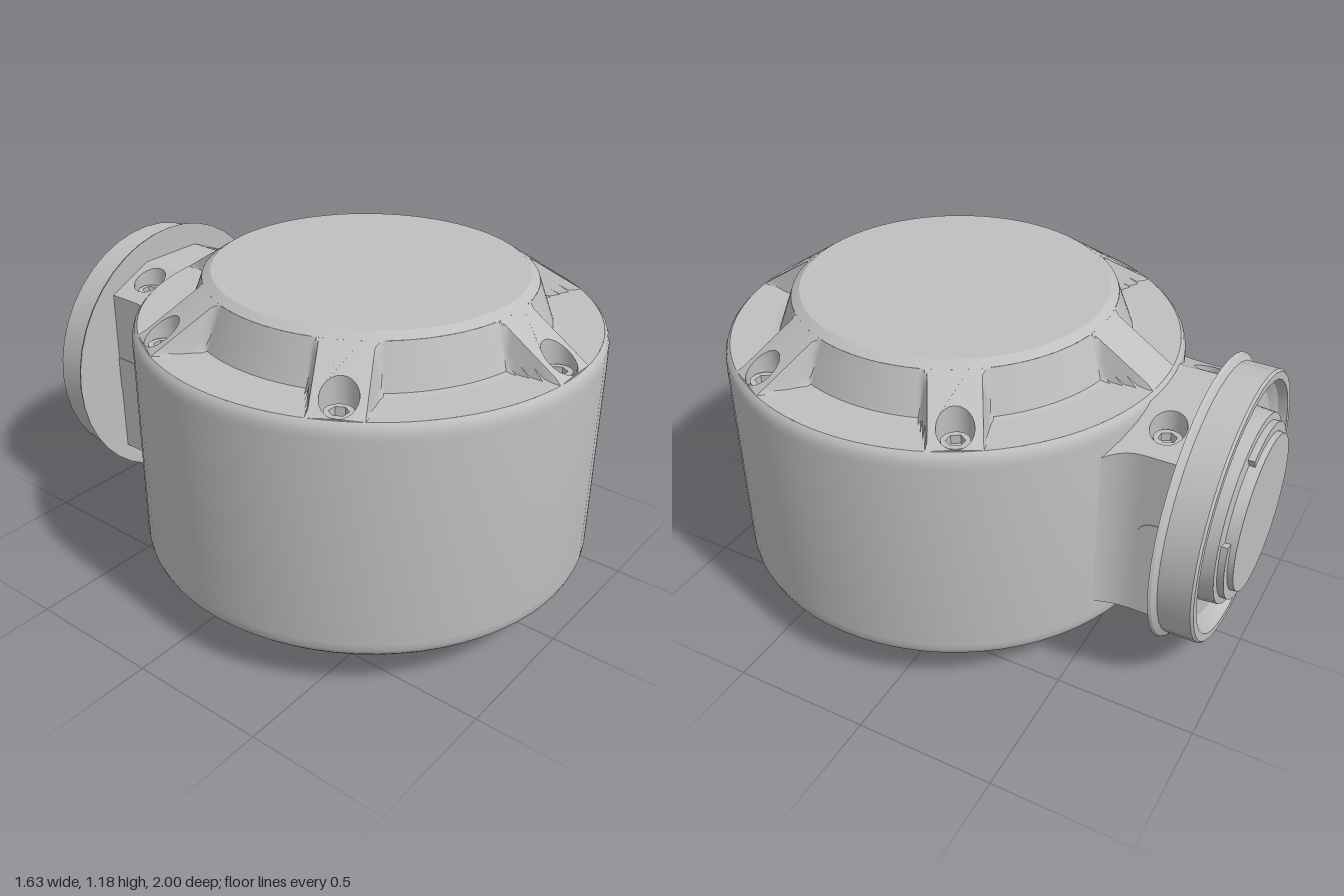
import * as THREE from 'three';
import { toCreasedNormals } from 'three/addons/utils/BufferGeometryUtils.js';

const H = 1.185;          // overall height
const AXIS_Z = 0.18;      // housing axis
const R_IN = 0.57, R_OUT = 0.795, RIB = 0.085, FLOOR = 1.015;
const BOLT_R = 0.73, HOLE = 0.06;
const coneY = r => H - (r - 0.54) * (H - FLOOR) / (R_OUT - 0.54);
const neckY = x => 1.0 - 0.45 * (x - 0.13);

const steel = new THREE.MeshStandardMaterial({ color: 0xbfbfbf, side: THREE.DoubleSide });
steel.name = 'greySteel';

function part(name, geo, parent, crease = 0.5) {
  const mesh = new THREE.Mesh(toCreasedNormals(geo, crease), steel);
  mesh.name = name;
  parent.add(mesh);
  return mesh;
}

const lathe = (pts, seg) => new THREE.LatheGeometry(pts.map(p => new THREE.Vector2(p[0], p[1])), seg);

// Set every vertex height by a rule
function moveY(geo, rule) {
  const p = geo.attributes.position;
  for (let i = 0; i < p.count; i++) p.setY(i, rule(p.getX(i), p.getY(i), p.getZ(i)));
  return geo;
}

function circlePath(x, y, r) {
  const path = new THREE.Path();
  path.absarc(x, y, r, 0, Math.PI * 2, true);
  return path;
}

// One pocket between two ribs: a polar grid sunk below the cone
function pocketGeometry() {
  const radii = [0.57, 0.58, 0.59, 0.6, 0.61, 0.625, 0.64, 0.66, 0.7, 0.74, 0.77, 0.795];
  const offs = [0, 0.008, 0.016, 0.024, 0.032, 0.04, 0.055];
  const mid = 10, pos = [], idx = [], sector = Math.PI / 3;
  const cols = offs.length * 2 + mid - 1;
  for (const r of radii) {
    const edge = offs.map(o => Math.asin((RIB + o) / r));
    const last = edge[edge.length - 1];
    const angles = [...edge];
    for (let k = 1; k < mid; k++) angles.push(last + (sector - 2 * last) * k / mid);
    angles.push(...edge.map(a => sector - a).reverse());
    for (const a of angles) {
      const u = (r - R_IN) * 2;
      const v = (r * Math.sin(Math.min(a, sector - a)) - RIB) * 4;
      const C = 0.1;   // rounded pocket corner
      const d = u < C && v < C ? Math.max(0, C - Math.hypot(C - u, C - v)) : Math.min(u, v);
      const y = Math.max(Math.min(FLOOR, coneY(r)), coneY(r) - d);
      pos.push(r * Math.sin(a), y, r * Math.cos(a));
    }
  }
  for (let i = 0; i < radii.length - 1; i++) {
    for (let j = 0; j < cols - 1; j++) {
      const a = i * cols + j;
      idx.push(a, a + cols, a + 1, a + 1, a + cols, a + cols + 1);
    }
  }
  const geo = new THREE.BufferGeometry();
  geo.setAttribute('position', new THREE.Float32BufferAttribute(pos, 3));
  geo.setIndex(idx);
  return geo;
}

// Sloping rib, with or without a bolt hole
function ribGeometry(hole) {
  const xs = [-RIB, -RIB / 2, 0, RIB / 2, RIB];
  const at = (x, r) => new THREE.Vector2(x, -Math.sqrt(r * r - x * x));
  const shape = new THREE.Shape([...xs.map(x => at(x, R_OUT)), ...xs.reverse().map(x => at(x, R_IN))]);
  if (hole) shape.holes.push(circlePath(0, -BOLT_R, HOLE));
  const geo = new THREE.ShapeGeometry(shape, 12);
  geo.rotateX(-Math.PI / 2);
  return moveY(geo, (x, y, z) => coneY(Math.hypot(x, z)));
}

// Socket-head screw sitting on the floor of its hole
function addScrew(parent, x, z, topY) {
  const screw = new THREE.Group();
  screw.name = 'socketScrew';
  screw.position.set(x, topY, z);
  const head = new THREE.Shape();
  head.absarc(0, 0, 0.047, 0, Math.PI * 2);
  const hex = [0, 1, 2, 3, 4, 5].map(k =>
    new THREE.Vector2(Math.cos(k * Math.PI / 3) * 0.031, Math.sin(k * Math.PI / 3) * 0.031));
  head.holes.push(new THREE.Path(hex));
  const geo = new THREE.ExtrudeGeometry(head, { depth: 0.035, bevelEnabled: false, curveSegments: 12 });
  part('screwHead', geo.rotateX(-Math.PI / 2).translate(0, -0.035, 0), screw);
  part('holeFloor', new THREE.CircleGeometry(HOLE, 24).rotateX(-Math.PI / 2).translate(0, -0.03, 0), screw);
  parent.add(screw);
}

// End cap with six pockets, ribs and five screws
function makeCap(name, bore) {
  const cap = new THREE.Group();
  cap.name = name;
  const face = [[R_IN, coneY(R_IN)], [0.54, H]];
  if (bore) face.push([0.305, H], [0.305, H - 0.14], [0, H - 0.14]);
  else face.push([0, H]);
  part('capFace', lathe(face, 72), cap);
  for (let k = 0; k < 6; k++) {
    const sector = new THREE.Group();
    sector.name = 'capSector';
    sector.rotation.y = k * Math.PI / 3;
    part('pocket', pocketGeometry(), sector, 0.6);
    part('rib', ribGeometry(k !== 3), sector);
    if (k !== 3) {
      const wall = new THREE.CylinderGeometry(HOLE, HOLE, 0.1, 24, 1, true).translate(0, 0, BOLT_R);
      part('holeWall', moveY(wall, (x, y, z) => y > 0 ? coneY(Math.hypot(x, z)) : 0.975), sector);
      addScrew(sector, 0, BOLT_R, 1.012);
    }
    cap.add(sector);
  }
  return cap;
}

function makeNeck() {
  const neck = new THREE.Group();
  neck.name = 'outletNeck';
  part('neckCore', new THREE.BoxGeometry(0.26, 0.815, 0.31).translate(0, H / 2, -0.655), neck);
  const plan = new THREE.Shape();
  plan.moveTo(0.13, 0.5);
  plan.lineTo(0.42, 0.5);
  plan.quadraticCurveTo(0.31, 0.57, 0.31, 0.68);
  plan.lineTo(0.31, 0.81);
  plan.lineTo(0.13, 0.81);
  plan.holes.push(circlePath(0.2, 0.71, HOLE));
  const slot = new THREE.Shape();
  slot.moveTo(0.8, -0.065);
  slot.lineTo(0.8, 0.065);
  slot.lineTo(0.735, 0.065);
  slot.absarc(0.735, 0, 0.065, Math.PI / 2, Math.PI * 1.5);
  for (const s of [1, -1]) {
    const side = new THREE.Group();
    side.name = s > 0 ? 'neckLeft' : 'neckRight';
    side.scale.x = s;
    const geo = new THREE.ExtrudeGeometry(plan, { depth: 1, bevelEnabled: false, curveSegments: 12 });
    geo.rotateX(-Math.PI / 2);
    part('neckSide', moveY(geo, (x, y) => y > 0.5 ? neckY(x) : H - neckY(x)), side);
    const plate = new THREE.ExtrudeGeometry(slot, { depth: 0.004, bevelEnabled: false });
    part('sideSlot', plate.rotateY(Math.PI / 2).translate(0.309, H / 2, 0), side);
    addScrew(side, 0.2, -0.71, 0.93);
    const under = new THREE.Group();
    under.name = 'lowerScrew';
    under.rotation.x = Math.PI;
    under.position.y = H;
    addScrew(under, 0.2, 0.71, 0.93);
    side.add(under);
    neck.add(side);
  }
  return neck;
}

function makeFlange() {
  const flange = new THREE.Group();
  flange.name = 'outletFlange';
  flange.position.y = 0.595;
  const profile = [[0, 0.8], [0.51, 0.797], [0.505, 0.807], [0.485, 0.82], [0.485, 0.932], [0.477, 0.94],
    [0.45, 0.94], [0.435, 0.91], [0.4, 0.89], [0.345, 0.89], [0.34, 0.955], [0.285, 0.96], [0.28, 1.0], [0, 1.0]];
  part('flangeDish', lathe(profile, 40).rotateX(-Math.PI / 2), flange);
  // Open step ring around the centre disc
  const ring = new THREE.Shape();
  ring.absarc(0, 0, 0.315, 1.15, 1.15 + Math.PI * 1.7, false);
  ring.absarc(0, 0, 0.27, 1.15 + Math.PI * 1.7, 1.15, true);
  const geo = new THREE.ExtrudeGeometry(ring, { depth: 0.03, bevelEnabled: false, curveSegments: 32 });
  part('stepRing', geo.translate(0, 0, -0.98), flange);
  return flange;
}

export function createModel() {
  const model = new THREE.Group();
  model.name = 'motorHousing';
  const body = new THREE.Group();
  body.name = 'housing';
  body.position.z = AXIS_Z;
  const half = [[0.815, 0.96], [0.813, 0.985], [0.806, 1.004], [R_OUT, FLOOR]];
  const wall = [...half.map(([r, y]) => [r, H - y]).reverse(), ...half];
  part('housingWall', lathe(wall, 72), body, 0.7);
  body.add(makeCap('topCap', false));
  const bottom = makeCap('bottomCap', true);
  bottom.rotation.z = Math.PI;
  bottom.position.y = H;
  body.add(bottom);
  model.add(body, makeNeck(), makeFlange());
  return model;
}
